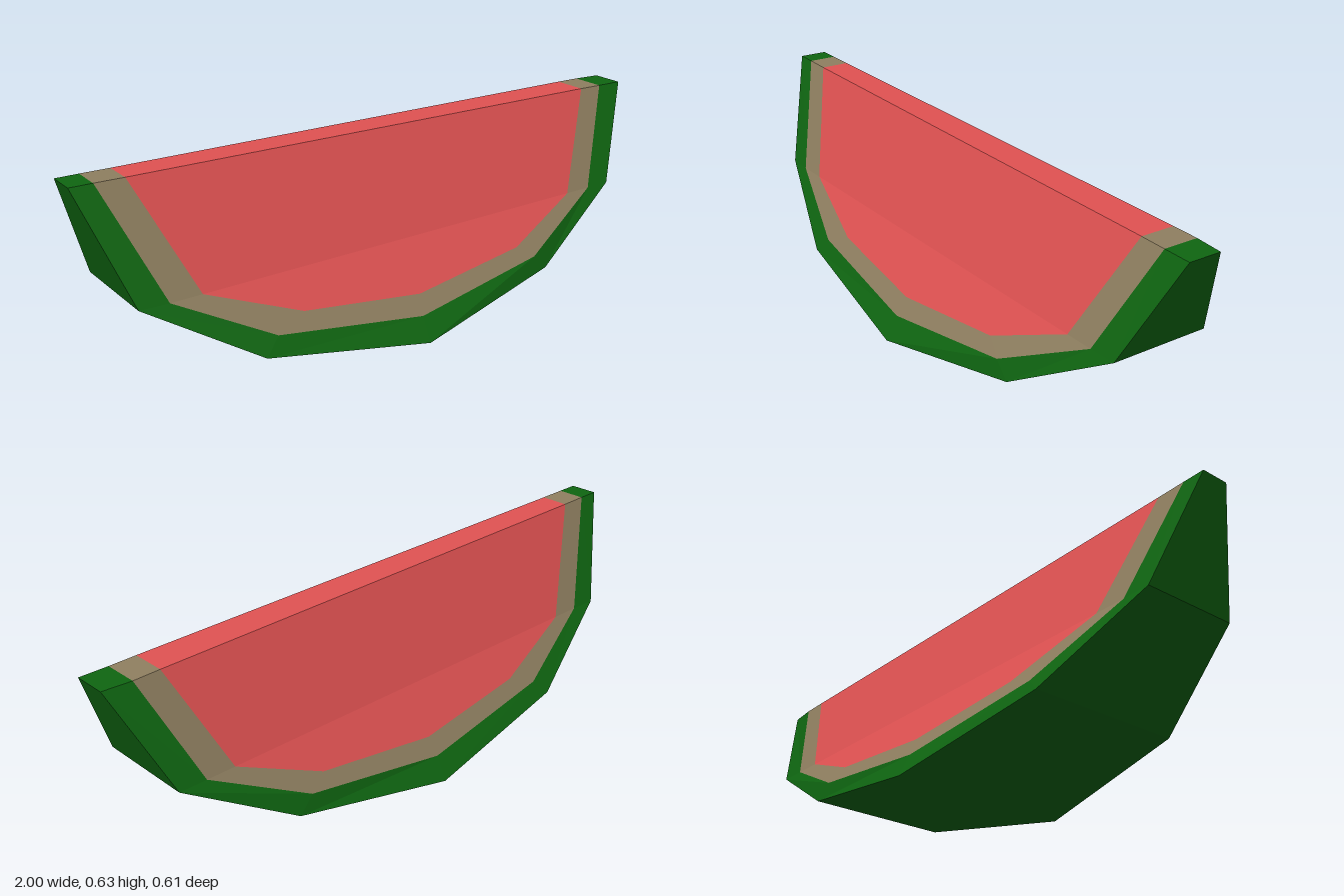
import * as THREE from 'three';

// Contours run from the left-hand top corner, round the bottom, to the other top corner.
const RIND = [[-1, 0.63], [-0.88, 0.29], [-0.55, 0.09], [-0.01, 0], [0.52, 0.09], [0.865, 0.29], [1, 0.6]];
const PITH = [[-0.93, 0.629], [-0.79, 0.29], [-0.5, 0.14], [-0.01, 0.075], [0.47, 0.14], [0.775, 0.29], [0.91, 0.601]];
const FLESH = [[-0.84, 0.627], [-0.69, 0.29], [-0.4, 0.18], [0, 0.135], [0.41, 0.18], [0.68, 0.29], [0.825, 0.603]];

// Half thickness of the wedge at a height: wide at the skin, narrow at the cut top.
const depth = (y, mid, top) => (y < 0.29
  ? THREE.MathUtils.lerp(0.305, mid, y / 0.29)
  : THREE.MathUtils.lerp(mid, top, (y - 0.29) / 0.34));

const FRONT_RIM = [0.037, 0.15, 0.252, 0.305, 0.235, 0.153, 0.049];
const BACK_RIM = [-0.055, -0.167, -0.26, -0.305, -0.243, -0.165, -0.056];

const contour = (points, side, rim) => points.map(([x, y], i) => {
  const z = side > 0 ? depth(y, 0.155, 0.037) : -depth(y, 0.165, 0.055);
  return [x, y, rim ? rim[i] : z];
});

function facetedMesh(name, polygons, material) {
  const positions = [];
  for (const p of polygons) {
    for (let i = 1; i < p.length - 1; i++) positions.push(...p[0], ...p[i], ...p[i + 1]);
  }
  const geometry = new THREE.BufferGeometry();
  geometry.setAttribute('position', new THREE.Float32BufferAttribute(positions, 3));
  geometry.computeVertexNormals();
  const mesh = new THREE.Mesh(geometry, material);
  mesh.name = name;
  return mesh;
}

// Band of quads between an outer and an inner contour.
const band = (outer, inner) => outer.slice(1).map((p, i) => [outer[i], p, inner[i + 1], inner[i]]);
const flip = (polygons) => polygons.map((p) => [...p].reverse());
// Flat strip of the top cut between two contour ends.
const topStrip = (f, b, g, c) => [f, g, c, b];

export function createModel() {
  const material = (name, color) => {
    const m = new THREE.MeshStandardMaterial({ color, flatShading: true });
    m.name = name;
    return m;
  };
  const green = material('rind green', 0x0f6611);
  const pale = material('pith brown', 0x8f7f60);
  const red = material('flesh red', 0xe05252);

  const rf = contour(RIND, 1, FRONT_RIM), rb = contour(RIND, -1, BACK_RIM);
  const pf = contour(PITH, 1), pb = contour(PITH, -1);
  const ff = contour(FLESH, 1), fb = contour(FLESH, -1);
  const end = 6;

  // Top ends of a band, one at each side.
  const bandTops = (of, ob, nf, nb) => [
    topStrip(of[0], ob[0], nf[0], nb[0]),
    topStrip(nf[end], nb[end], of[end], ob[end]),
  ];
  // Flesh face creases where the wedge changes slope.
  const face = (c) => [[c[0], c[1], c[5], c[6]], c.slice(1, 6)];

  const group = new THREE.Group();
  group.name = 'melonSlice';
  group.add(
    // Outer skin with its visible edge on both cut faces
    facetedMesh('rind', [
      ...rf.slice(1).map((p, i) => [rf[i], rb[i], rb[i + 1], p]),
      ...band(rf, pf), ...flip(band(rb, pb)), ...bandTops(rf, rb, pf, pb),
    ], green),
    // Pale layer under the skin
    facetedMesh('pith', [
      ...band(pf, ff), ...flip(band(pb, fb)), ...bandTops(pf, pb, ff, fb),
    ], pale),
    // Flesh with both cut faces and the top
    facetedMesh('flesh', [
      ...face(ff), ...flip(face(fb)), topStrip(ff[0], fb[0], ff[end], fb[end]),
    ], red),
  );
  return group;
}
